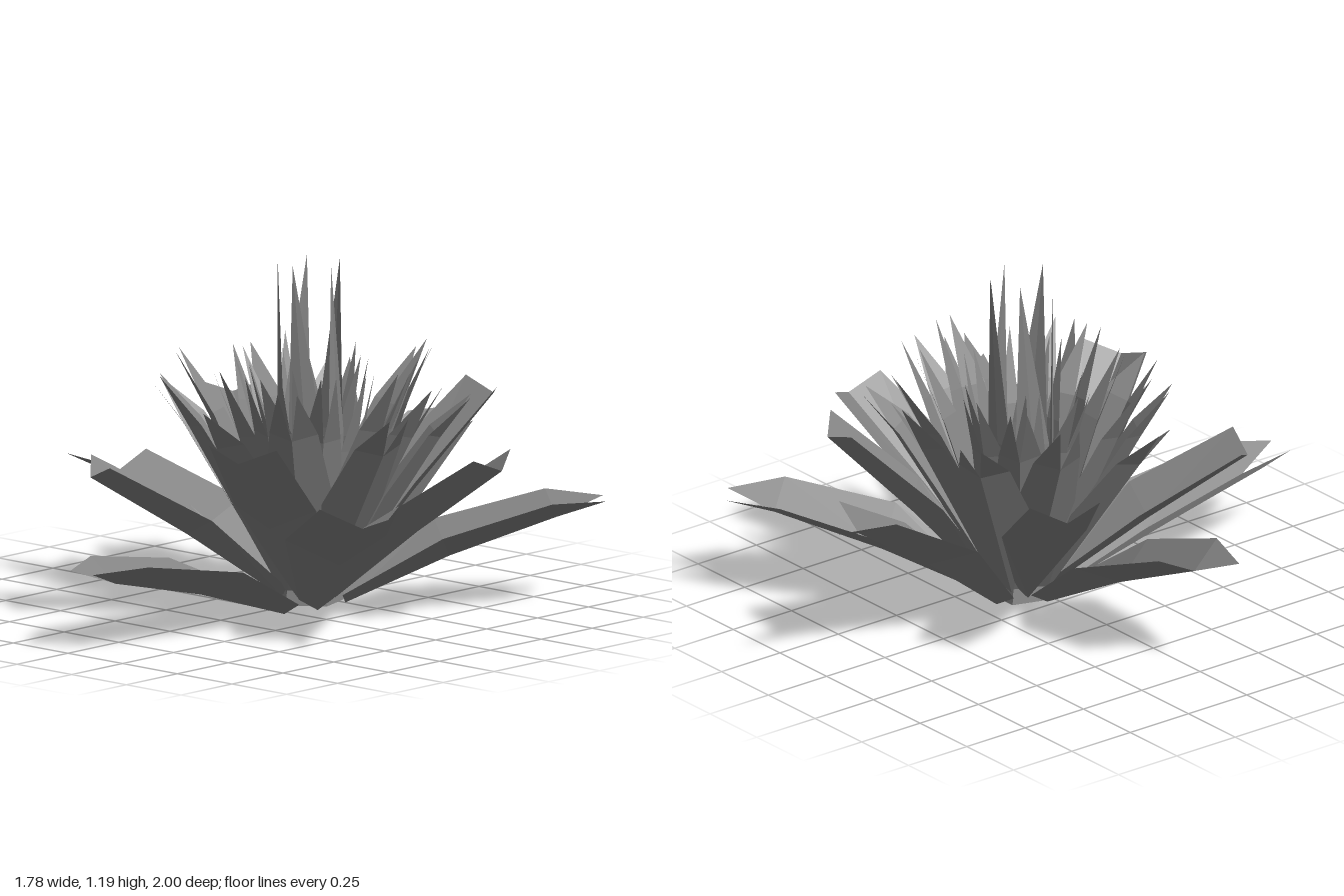
import * as THREE from 'three';

// axis of the rosette
const CX = 0.09, CZ = -0.09;
const leafGrey = new THREE.MeshStandardMaterial({ color: 0x848484, flatShading: true, side: THREE.DoubleSide });
leafGrey.name = 'leaf grey';

// point at radius r, height y and sideways offset w, for azimuth a in degrees
function at(a, r, y, w) {
  const c = Math.cos(a * Math.PI / 180), s = Math.sin(a * Math.PI / 180);
  return [CX + r * c - w * s, y, CZ + r * s + w * c];
}

// one folded leaf: a rib of three stations, two blades rising from it, and
// an optional pointed end on either blade (tips: 1 = first, 2 = second, 3 = both);
// with lean set, both blades meet in one point at that sideways offset
function leaf(name, { a, r0 = 0.1, y0, r, y, w, fold, tips, reach, rise, bow = 0, wb = 0.035, mid = 0.5, end = 0.83, skew = 0.3, lean }) {
  const len = Math.hypot(r - r0, y - y0);
  const nr = -(y - y0) / len, ny = (r - r0) / len;
  const stations = [
    [r0, y0, wb, fold * 0.4],
    [r0 + (r - r0) * mid + nr * bow, y0 + (y - y0) * mid + ny * bow, w, fold],
    [r, y, w * end, fold * 0.75],
  ];
  const pos = [];
  const tri = (...p) => p.forEach(v => pos.push(...v));
  for (const side of [-1, 1]) {
    const rib = stations.map(([R, Y]) => at(a, R, Y, 0));
    const rim = stations.map(([R, Y, W, F]) => at(a, R + nr * F, Y + ny * F, side * W));
    const put = (p, q, s) => side > 0 ? tri(p, q, s) : tri(p, s, q);
    for (let i = 0; i < 2; i++) {
      put(rib[i], rim[i], rim[i + 1]);
      put(rib[i], rim[i + 1], rib[i + 1]);
    }
    if (tips & (side < 0 ? 1 : 2)) put(rib[2], rim[2], at(a, r + reach, y + rise, lean ?? side * w * skew));
  }
  const geo = new THREE.BufferGeometry();
  geo.setAttribute('position', new THREE.Float32BufferAttribute(pos, 3));
  geo.computeVertexNormals();
  const mesh = new THREE.Mesh(geo, leafGrey);
  mesh.name = name;
  return mesh;
}

export function createModel() {
  const model = new THREE.Group();
  model.name = 'rosettePlant';
  let seed = 7;
  const jitter = k => {
    seed = (seed * 16807) % 2147483647;
    return (seed / 2147483647 - 0.5) * 2 * k;
  };

  // five-sided open stem
  const stemGeo = new THREE.CylinderGeometry(0.1, 0.12, 0.1, 5, 1, true);
  const stem = new THREE.Mesh(stemGeo, leafGrey);
  stem.name = 'stem';
  stem.position.set(CX, 0.08, CZ);
  model.add(stem);

  // low spreading leaves: azimuth, rib end radius, rib end height, base height, tips
  const outer = [
    [92, 0.92, 0.22, 0.0, 3], [34, 0.78, 0.43, 0.02, 1], [-48, 0.83, 0.30, 0.02, 3],
    [-96, 0.77, 0.48, 0.02, 1], [174, 0.82, 0.36, 0.03, 1],
  ];
  for (const [a, r, y, y0, tips] of outer) {
    model.add(leaf('outerLeaf', {
      a, r0: 0.12, y0, r, y, w: 0.175, fold: 0.1, tips, reach: 0.16, rise: 0.06, bow: 0.015, wb: 0.06, end: 0.78,
    }));
  }

  // blunt middle leaves
  const middle = [
    [122, 0.76, 0.49], [67, 0.70, 0.63], [-12, 0.75, 0.55], [-68, 0.68, 0.68], [-153, 0.75, 0.6],
  ];
  for (const [a, r, y] of middle) {
    model.add(leaf('middleLeaf', { a, y0: 0.05, r, y, w: 0.145, fold: 0.085, tips: 0, bow: 0.01 }));
  }

  // upright inner layers, steeper and narrower toward the centre
  const layers = [
    { angles: [-122, -42, 15, 92, 161], y0: 0.06, r: 0.45, y: 0.6, w: 0.12, fold: 0.06, reach: 0.1, rise: 0.14 },
    { angles: [-84, -10, 56, 136, 200], y0: 0.07, r: 0.39, y: 0.64, w: 0.11, fold: 0.06, reach: 0.1, rise: 0.18 },
    { angles: [3, 75, 150, 220, 290], y0: 0.08, r: 0.32, y: 0.64, w: 0.095, fold: 0.05, reach: 0.11, rise: 0.22 },
    { angles: [36, 108, 178, 250, -35], y0: 0.09, r: 0.25, y: 0.62, w: 0.085, fold: 0.04, reach: 0.09, rise: 0.24 },
    { angles: [66, 138, 210, 282, -6], y0: 0.1, r: 0.17, y: 0.58, w: 0.075, fold: 0.03, reach: 0.06, rise: 0.27 },
  ];
  for (const { angles, ...shape } of layers) {
    for (const a of angles) {
      model.add(leaf('innerLeaf', {
        ...shape, a, r: shape.r + jitter(0.03), y: shape.y + jitter(0.02), tips: 3, mid: 0.6, end: 0.75,
      }));
    }
  }

  // tall vertical spikes around the hollow centre
  for (let i = 0; i < 5; i++) {
    model.add(leaf('centreSpike', {
      a: 54 + 72 * i, r0: 0.085, y0: 0.1, r: 0.105, y: 0.6, w: 0.06, fold: 0.01,
      tips: 3, reach: -0.005, rise: 0.59, wb: 0.055, end: 1, lean: 0.045,
    }));
  }
  return model;
}
